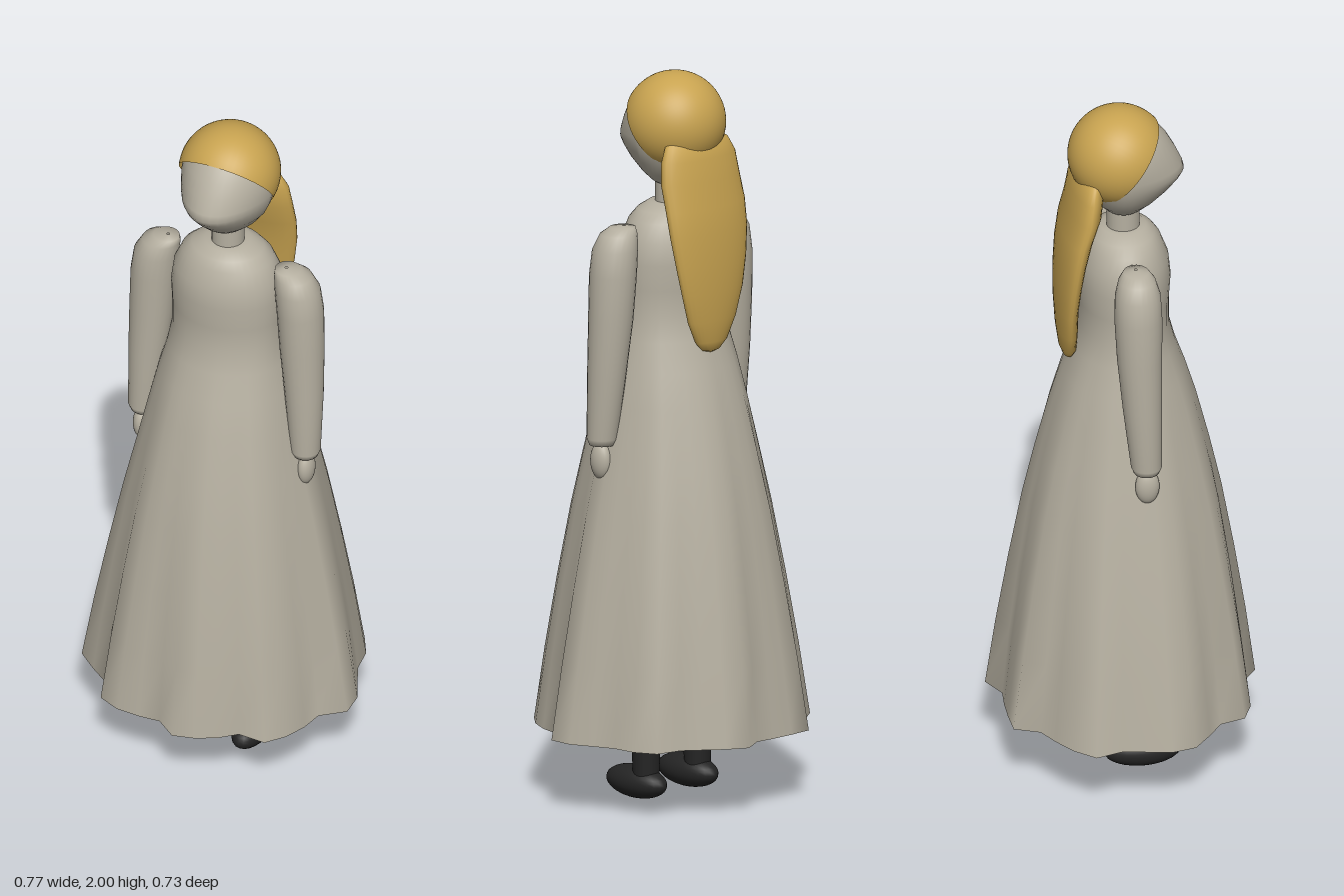
import * as THREE from 'three';

// Radius of the skirt hem every 10 degrees, from the front round through +x
const HEM = [
  0.36, 0.351, 0.339, 0.323, 0.372, 0.367, 0.356, 0.342, 0.39, 0.383, 0.36, 0.351,
  0.373, 0.381, 0.34, 0.342, 0.356, 0.371, 0.33, 0.34, 0.357, 0.383, 0.343, 0.36,
  0.383, 0.402, 0.363, 0.37, 0.39, 0.394, 0.364, 0.343, 0.378, 0.365, 0.341, 0.322,
];

// Skin closed rings, listed bottom to top; point(section, angle, column) gives [x, y, z]
function loft(sections, columns, point) {
  const positions = [];
  const index = [];
  sections.forEach((section, i) => {
    for (let j = 0; j < columns; j++) {
      positions.push(...point(section, (j / columns) * Math.PI * 2, j));
      if (i === sections.length - 1) continue;
      const a = i * columns + j;
      const b = i * columns + ((j + 1) % columns);
      index.push(a, b, b + columns, a, b + columns, a + columns);
    }
  });
  const geometry = new THREE.BufferGeometry();
  geometry.setAttribute('position', new THREE.Float32BufferAttribute(positions, 3));
  geometry.setIndex(index);
  geometry.computeVertexNormals();
  return geometry;
}

// Section: [y, centre x, centre z, half width, half depth]
const oval = ([y, cx, cz, w, d], t) => [cx + w * Math.sin(t), y, cz + d * Math.cos(t)];

export function createModel() {
  const model = new THREE.Group();
  model.name = 'woman';

  const cloth = new THREE.MeshStandardMaterial({ color: 0xb5afa0, side: THREE.DoubleSide });
  cloth.name = 'pale grey';
  const gold = new THREE.MeshStandardMaterial({ color: 0xc8a350, side: THREE.DoubleSide });
  gold.name = 'golden hair';
  const black = new THREE.MeshStandardMaterial({ color: 0x242424 });
  black.name = 'black';

  const add = (name, geometry, material, parent = model) => {
    const mesh = new THREE.Mesh(geometry, material);
    mesh.name = name;
    parent.add(mesh);
    return mesh;
  };
  const ellipsoid = (x, y, z, rx, ry, rz) =>
    new THREE.SphereGeometry(1, 24, 16).scale(rx, ry, rz).translate(x, y, z);

  // Dress: [y, half width, half depth], folds fading out towards the waist
  const dress = [
    [0.2, 0.36, 0.36], [0.4, 0.334, 0.334], [0.6, 0.303, 0.303], [0.8, 0.268, 0.268],
    [0.95, 0.238, 0.235], [1.1, 0.208, 0.198], [1.2, 0.187, 0.168], [1.28, 0.167, 0.14],
    [1.35, 0.155, 0.122], [1.42, 0.155, 0.122], [1.49, 0.158, 0.127], [1.55, 0.15, 0.121],
    [1.6, 0.128, 0.102], [1.625, 0.1, 0.085], [1.642, 0.062, 0.062], [1.643, 0.03, 0.03],
  ];
  add('dress', loft(dress, HEM.length, ([y, w, d], t, j) => {
    const fold = THREE.MathUtils.clamp((1.35 - y) / 1.15, 0, 1);
    const k = 1 + fold * (HEM[j] / 0.36 - 1);
    return [w * k * Math.sin(t), y, d * k * Math.cos(t)];
  }), cloth);

  add('neck', new THREE.CylinderGeometry(0.045, 0.045, 0.14, 24).translate(0, 1.66, 0), cloth);

  // Head: [y, half width, back depth, front depth], with a ridge down the face
  const head = [
    [1.68, 0.004, 0.004, 0.004], [1.682, 0.022, 0.02, 0.024], [1.7, 0.055, 0.05, 0.06],
    [1.725, 0.082, 0.075, 0.09], [1.76, 0.107, 0.095, 0.126], [1.79, 0.12, 0.108, 0.153],
    [1.81, 0.125, 0.115, 0.165], [1.83, 0.129, 0.12, 0.16], [1.87, 0.13, 0.12, 0.142],
    [1.91, 0.122, 0.115, 0.12], [1.95, 0.1, 0.1, 0.09], [1.98, 0.055, 0.06, 0.045],
    [1.99, 0.004, 0.004, 0.004],
  ];
  add('head', loft(head, 40, ([y, w, back, front], t) => {
    const c = Math.cos(t);
    return [w * Math.sin(t), y, c > 0 ? front * c ** 1.4 : back * c];
  }), cloth);

  // Hair cap, tilted back so its rim frames the face
  const cap = new THREE.SphereGeometry(0.138, 48, 24, 0, Math.PI * 2, 0, 1.8);
  cap.rotateX(-0.913).translate(0, 1.862, -0.012);
  add('hairCap', cap, gold);

  // Long hair falling down the back
  const hair = [
    [1.248, 0, -0.15, 0.004, 0.003], [1.255, 0, -0.151, 0.03, 0.014],
    [1.28, 0, -0.152, 0.056, 0.023], [1.34, 0, -0.155, 0.086, 0.028],
    [1.42, 0, -0.157, 0.11, 0.03], [1.5, 0, -0.152, 0.127, 0.034],
    [1.58, 0, -0.143, 0.139, 0.038], [1.65, 0, -0.13, 0.142, 0.042],
    [1.72, 0, -0.11, 0.14, 0.046], [1.78, 0, -0.102, 0.132, 0.044],
    [1.82, 0, -0.095, 0.112, 0.034], [1.85, 0, -0.085, 0.06, 0.015],
    [1.855, 0, -0.085, 0.004, 0.003],
  ];
  add('longHair', loft(hair, 28, oval), gold);

  // Arms, hands, legs and shoes, mirrored
  for (const [side, s] of [['left', 1], ['right', -1]]) {
    const sleeve = [
      [1.0, 0.24, 0.022, 0.004, 0.004], [1.002, 0.24, 0.022, 0.034, 0.034],
      [1.02, 0.239, 0.022, 0.042, 0.042], [1.2, 0.231, 0.012, 0.053, 0.053],
      [1.35, 0.222, 0.006, 0.061, 0.061], [1.47, 0.216, 0.004, 0.064, 0.065],
      [1.54, 0.208, 0.004, 0.062, 0.062], [1.58, 0.195, 0.004, 0.052, 0.05],
      [1.597, 0.18, 0.004, 0.036, 0.034], [1.6, 0.175, 0.004, 0.004, 0.004],
    ].map(([y, x, ...rest]) => [y, x * s, ...rest]);
    const arm = new THREE.Group();
    arm.name = `${side}Arm`;
    add('sleeve', loft(sleeve, 24, oval), cloth, arm);
    add('hand', ellipsoid(0.242 * s, 0.957, 0.024, 0.024, 0.051, 0.033), cloth, arm);

    const leg = new THREE.Group();
    leg.name = `${side}Leg`;
    const shin = new THREE.CylinderGeometry(0.06, 0.036, 0.75, 20);
    add('stocking', shin.translate(0.096 * s, 0.435, 0), black, leg);
    add('shoe', ellipsoid(0.096 * s, 0.045, 0.036, 0.05, 0.045, 0.106), black, leg);
    model.add(arm, leg);
  }
  return model;
}
